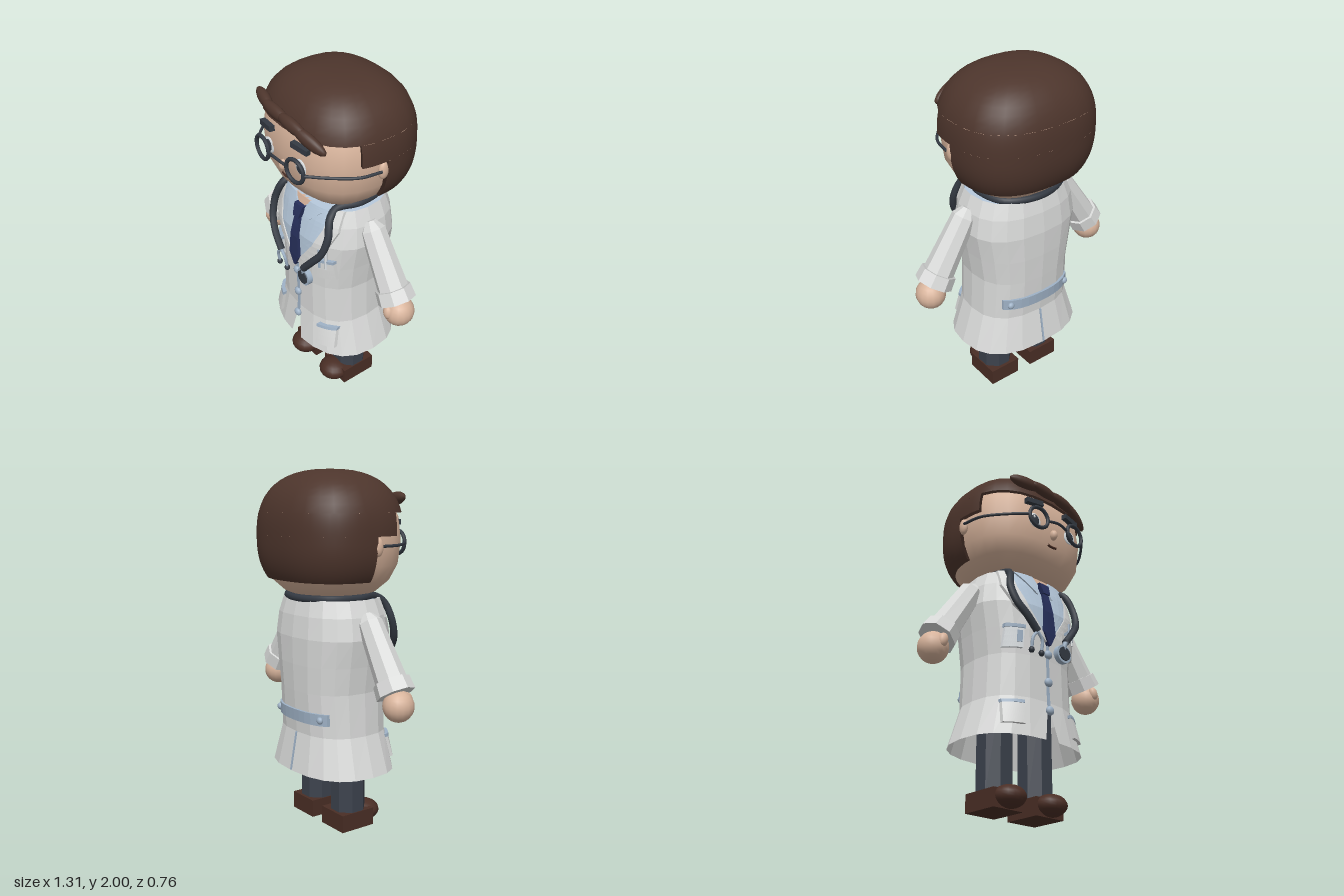
import * as THREE from 'three';

const mat = (name, color) => new THREE.MeshStandardMaterial({ name, color, side: THREE.DoubleSide });
const M = {
  coat: mat('coat white', 0xd9dad9), skin: mat('skin', 0xd8b49c), hair: mat('hair brown', 0x4d352c),
  shoe: mat('shoe brown', 0x4a2e25), trousers: mat('trouser slate', 0x3c424d), dark: mat('dark grey', 0x343a43),
  shirt: mat('shirt blue', 0xb7cadd), trim: mat('trim blue grey', 0x9fb2c6), tie: mat('navy', 0x27305c),
  eye: mat('eye white', 0xe8edf0),
};
const P = 2.5; // roundness of head and coat sections
const spow = (v, e) => Math.sign(v) * Math.abs(v) ** e;

// Grid surface from fn(i, j) -> [x, y, z]
function grid(nu, nv, fn) {
  const pos = [], idx = [], w = nu + 1;
  for (let j = 0; j <= nv; j++) for (let i = 0; i <= nu; i++) pos.push(...fn(i, j));
  for (let j = 0; j < nv; j++) for (let i = 0; i < nu; i++) {
    const a = j * w + i, b = a + 1, c = b + w, d = a + w;
    idx.push(a, b, c, a, c, d);
  }
  const g = new THREE.BufferGeometry();
  g.setAttribute('position', new THREE.Float32BufferAttribute(pos, 3));
  g.setIndex(idx);
  g.computeVertexNormals();
  return g;
}
function flat(g) {
  const n = g.index ? g.toNonIndexed() : g;
  n.computeVertexNormals();
  return n;
}

// Rounded-box shell between two heights, open in front of zMax, with a rim turned inwards
function shell({ A, B, C, cy, cz }, y0, y1, zMax, rim) {
  const phi = (y) => Math.asin(spow(THREE.MathUtils.clamp((y - cy) / B, -1, 1), P / 2));
  const nu = 26, nv = 10, nor = [];
  const g = grid(nu + 2, nv + 1, (i, j) => {
    const p = THREE.MathUtils.lerp(phi(y0), phi(y1), Math.max(j - 1, 0) / nv);
    const f = Math.abs(Math.cos(p)) ** (2 / P);
    const t0 = zMax === null ? Math.PI / 2 : Math.asin(spow((zMax - cz) / (C * f), P / 2));
    const u = THREE.MathUtils.clamp(i - 1, 0, nu) / nu;
    const t = t0 + (-Math.PI - 2 * t0) * u;
    const edge = j === 0 || (zMax !== null && (i === 0 || i === nu + 2));
    const x = spow(Math.cos(t), 2 / P) * f, y = spow(Math.sin(p), 2 / P), z = spow(Math.sin(t), 2 / P) * f;
    const n = new THREE.Vector3(spow(x, P - 1) / A, spow(y, P - 1) / B, spow(z, P - 1) / C).normalize();
    nor.push(n.x, n.y, n.z);
    const k = edge && rim ? 0.94 : 1;
    return [x * A * k, cy + y * B, cz + z * C * k];
  });
  g.setAttribute('normal', new THREE.Float32BufferAttribute(nor, 3));
  return g;
}

// Coat rows: height, half width, front depth, back depth
const ROWS = [[0.34, 0.375, 0.285, 0.29], [0.56, 0.305, 0.255, 0.25], [0.8, 0.295, 0.255, 0.265],
  [0.95, 0.315, 0.26, 0.272], [1.1, 0.34, 0.255, 0.275], [1.22, 0.32, 0.225, 0.262], [1.31, 0.285, 0.195, 0.24]];
function coatAt(y) {
  let k = 0;
  while (k < ROWS.length - 2 && y > ROWS[k + 1][0]) k++;
  const a = ROWS[k], b = ROWS[k + 1], t = (y - a[0]) / (b[0] - a[0]);
  return a.map((v, i) => v + (b[i] - v) * t);
}
function coatZ(x, y, side = 1) {
  const [, a, f, b] = coatAt(y);
  return side * (side > 0 ? f : b) * Math.max(0, 1 - Math.abs(x / a) ** P) ** (1 / P);
}
// Thin plate lying on the coat; rows are [y, xLeft, xRight] from bottom to top
function plate(rows, off = 0.008, side = 1) {
  const nu = 10, per = 4, nv = (rows.length - 1) * per;
  return flat(grid(nu + 2, nv + 2, (i, j) => {
    const v = THREE.MathUtils.clamp(j - 1, 0, nv) / per, k = Math.min(Math.floor(v), rows.length - 2);
    const [y, l, r] = rows[k].map((q, m) => q + (rows[k + 1][m] - q) * (v - k));
    const x = l + (r - l) * THREE.MathUtils.clamp(i - 1, 0, nu) / nu;
    const edge = i === 0 || j === 0 || i === nu + 2 || j === nv + 2;
    return [x * side, y, coatZ(x, y, side) + side * (edge ? -0.006 : off)];
  }));
}
const mirrorRows = (rows) => rows.map(([y, l, r]) => [y, -r, -l]);

export function createModel() {
  const root = new THREE.Group();
  const add = (name, g, m, x = 0, y = 0, z = 0) => {
    const o = new THREE.Mesh(g, m);
    o.name = name;
    o.position.set(x, y, z);
    root.add(o);
    return o;
  };
  const ball = (name, m, p, s, rz = 0) => {
    const o = add(name, new THREE.SphereGeometry(1, 16, 12), m, ...p);
    o.scale.set(...s);
    o.rotation.z = rz;
    return o;
  };
  const tube = (name, m, pts, r, n = 24) => add(name, new THREE.TubeGeometry(
    new THREE.CatmullRomCurve3(pts.map((p) => new THREE.Vector3(...p))), n, r, 8), m);

  // Head and hair
  add('head', shell({ A: 0.39, B: 0.33, C: 0.345, cy: 1.62, cz: -0.02 }, 1.29, 1.95, null, false), M.skin);
  const H = { A: 0.412, B: 0.36, C: 0.358, cy: 1.64, cz: -0.024 };
  add('hairCap', shell(H, 1.77, 2, null, true), M.hair);
  add('hairTemples', shell(H, 1.65, 1.77, 0.13, true), M.hair);
  add('hairBack', shell(H, 1.41, 1.65, -0.015, true), M.hair);
  [[-0.19, 1.842, 0.295, 0.1, -0.1, -0.25], [-0.06, 1.83, 0.318, 0.11, -0.12, 0], [0.08, 1.815, 0.32, 0.11, -0.16, 0.05],
    [0.2, 1.778, 0.305, 0.11, -0.38, 0.25]].forEach(([x, y, z, l, rz, ry]) => {
    ball('fringeLock', M.hair, [x, y, z], [l, 0.036, 0.03], rz).rotation.y = ry;
  });

  // Face
  ball('nose', M.skin, [0, 1.555, 0.325], [0.021, 0.032, 0.025]);
  tube('mouth', M.shoe, [[-0.032, 1.488, 0.309], [0, 1.482, 0.311], [0.032, 1.488, 0.309]], 0.007, 8);
  tube('glassesBridge', M.dark, [[-0.08, 1.6, 0.36], [0, 1.61, 0.37], [0.08, 1.6, 0.36]], 0.008, 10);
  add('neck', new THREE.CylinderGeometry(0.13, 0.13, 0.08, 16), M.skin, 0, 1.28, 0.02);

  for (const s of [-1, 1]) {
    ball('ear', M.skin, [s * 0.395, 1.595, 0], [0.022, 0.05, 0.03]);
    ball('eyeWhite', M.eye, [s * 0.137, 1.603, 0.315], [0.045, 0.045, 0.008]);
    ball('iris', M.dark, [s * 0.137, 1.603, 0.321], [0.028, 0.034, 0.006]);
    ball('eyeGlint', M.eye, [s * 0.137 - 0.012, 1.617, 0.327], [0.008, 0.008, 0.003]);
    const brow = add('eyebrow', new THREE.BoxGeometry(0.112, 0.03, 0.03), M.dark, s * 0.143, 1.718, 0.318);
    brow.rotation.set(0, s * 0.15, -s * 0.08);
    add('glassesRim', new THREE.TorusGeometry(0.064, 0.011, 8, 20), M.dark, s * 0.142, 1.6, 0.355).rotation.y = s * 0.1;
    tube('glassesArm', M.dark, [[s * 0.205, 1.6, 0.35], [s * 0.3, 1.6, 0.255], [s * 0.385, 1.6, 0.14], [s * 0.41, 1.6, 0.02]], 0.008);

    // Sleeves, cuffs and hands
    const arm = new THREE.Group();
    arm.name = 'arm';
    arm.position.set(s * 0.55, 0.845, 0);
    arm.rotation.z = s * 0.56;
    root.add(arm);
    const part = (name, g, y) => {
      const o = new THREE.Mesh(flat(g), M.coat);
      o.name = name;
      o.position.y = y;
      arm.add(o);
    };
    part('sleeve', new THREE.CylinderGeometry(0.068, 0.088, 0.38, 8), 0.22);
    part('shoulder', new THREE.CylinderGeometry(0.03, 0.068, 0.05, 8), 0.435);
    part('cuff', new THREE.CylinderGeometry(0.1, 0.107, 0.075, 8), 0.038);
    ball('hand', M.skin, [s * 0.57, 0.787, 0], [0.083, 0.085, 0.085]);
    ball('thumb', M.skin, [s * 0.562, 0.808, 0.07], [0.028, 0.042, 0.028], s * 0.2);

    // Legs and shoes
    add('trouserLeg', flat(new THREE.CylinderGeometry(0.1, 0.1, 0.55, 8).rotateY(Math.PI / 8)), M.trousers, s * 0.145, 0.36, 0);
    add('shoe', new THREE.BoxGeometry(0.196, 0.1, 0.22), M.shoe, s * 0.145, 0.05, 0);
    ball('shoeToe', M.shoe, [s * 0.145, 0.063, 0.115], [0.09, 0.06, 0.09]);

    // Lapels, collar and hip pockets
    const put = (name, rows, m, off) => add(name, plate(s > 0 ? rows : mirrorRows(rows), off), m);
    put('lapel', [[0.9, 0.005, 0.02], [1.08, 0.135, 0.22], [1.2, 0.185, 0.26], [1.31, 0.2, 0.25]], M.coat, 0.014);
    put('shirtCollar', [[1.19, 0.05, 0.06], [1.26, 0.035, 0.13], [1.31, 0.06, 0.18]], M.shirt, 0.016);
    put('hipPocket', [[0.4, 0.175, 0.28], [0.53, 0.17, 0.265]], M.coat, 0.018);
    put('hipPocketTrim', [[0.515, 0.168, 0.268], [0.533, 0.168, 0.268]], M.trim, 0.022);
  }

  // Coat body, split at the front hem
  const N = 20;
  add('coat', flat(grid(N, ROWS.length - 1, (i, j) => {
    const [y, a, f, b] = ROWS[j], t = Math.PI / 2 - (i / N) * Math.PI * 2;
    const c = Math.cos(t), sn = Math.sin(t), end = i === 0 ? 1 : i === N ? -1 : 0;
    return [end ? (j === 0 ? end * 0.045 : 0) : spow(c, 2 / P) * a, y, spow(sn, 2 / P) * (sn > 0 ? f : b)];
  })), M.coat);
  add('shirtYoke', grid(N, 1, (i, j) => {
    const t = Math.PI / 2 - (i / N) * Math.PI * 2, sn = Math.sin(t);
    return [spow(Math.cos(t), 2 / P) * 0.283 * (1 - j), 1.303, spow(sn, 2 / P) * (sn > 0 ? 0.193 : 0.238) * (1 - j)];
  }), M.shirt);
  add('shirtFront', plate([[0.91, -0.01, 0.01], [1.1, -0.17, 0.17], [1.2, -0.2, 0.2], [1.31, -0.215, 0.215]], 0.007), M.shirt);
  add('throat', plate([[1.25, -0.005, 0.005], [1.31, -0.07, 0.07]], 0.011), M.skin);
  add('tieBlade', plate([[0.88, -0.006, 0.006], [0.95, -0.042, 0.042], [1.21, -0.02, 0.02]], 0.024), M.tie);
  add('tieKnot', plate([[1.2, -0.024, 0.024], [1.27, -0.036, 0.036]], 0.034), M.tie);
  add('frontSeam', plate([[0.5, -0.007, 0.007], [0.9, -0.007, 0.007]], 0.008), M.trim);
  for (const y of [0.51, 0.67, 0.83]) ball('coatButton', M.trim, [0, y, coatZ(0, y) + 0.008], [0.025, 0.025, 0.018]);

  // Half belt and vent at the back
  add('backBelt', plate([[0.63, -0.228, 0.228], [0.695, -0.228, 0.228]], 0.012, -1), M.trim);
  add('backVent', plate([[0.345, -0.005, 0.005], [0.56, -0.005, 0.005]], 0.006, -1), M.trim);
  for (const x of [-0.195, 0.195]) ball('beltButton', M.trim, [x, 0.662, coatZ(x, 0.662, -1) - 0.014], [0.02, 0.02, 0.016]);

  // Breast pocket with pens, and badge
  add('breastPocket', plate([[0.885, 0.165, 0.26], [1.015, 0.155, 0.255]], 0.018), M.coat);
  add('breastPocketTrim', plate([[1.0, 0.153, 0.257], [1.018, 0.153, 0.257]], 0.022), M.trim);
  [[0.185, M.trim], [0.22, M.eye]].forEach(([x, m]) =>
    add('pen', new THREE.CylinderGeometry(0.009, 0.009, 0.12, 8), m, x, 1.02, coatZ(x, 1.02) + 0.014));
  add('badge', plate([[0.83, -0.255, -0.165], [0.955, -0.25, -0.16]], 0.014), M.eye);
  add('badgeStrip', plate([[0.94, -0.255, -0.158], [0.96, -0.255, -0.158]], 0.02), M.trim);
  add('badgePanel', plate([[0.86, -0.198, -0.172], [0.925, -0.198, -0.172]], 0.018), M.trim);

  // Stethoscope
  const side = (s) => [[s * 0.105, 0.925, 0.295], [s * 0.175, 1.01, 0.285], [s * 0.225, 1.08, 0.262], [s * 0.243, 1.18, 0.23],
    [s * 0.215, 1.28, 0.195], [s * 0.2, 1.315, 0.14], [s * 0.235, 1.315, 0], [s * 0.19, 1.315, -0.17]];
  tube('stethoscopeTube', M.dark, [...side(-1), [0, 1.312, -0.235], ...side(1).reverse()], 0.021, 90);
  for (const x of [-0.142, -0.07]) {
    tube('earpieceStem', M.trim, [[-0.105, 0.925, 0.295], [(x - 0.105) / 2 + (x + 0.105) * 0.4, 0.885, 0.295], [x, 0.82, 0.285]], 0.009, 12);
    ball('earTip', M.dark, [x, 0.812, 0.285], [0.016, 0.018, 0.016]);
  }
  tube('chestpieceStem', M.trim, [[0.105, 0.925, 0.295], [0.098, 0.9, 0.292], [0.095, 0.87, 0.285]], 0.013, 8);
  add('chestpiece', new THREE.CylinderGeometry(0.053, 0.053, 0.03, 18).rotateX(Math.PI / 2), M.trim, 0.095, 0.855, 0.278);
  add('chestpieceFace', new THREE.CylinderGeometry(0.04, 0.04, 0.008, 18).rotateX(Math.PI / 2), M.dark, 0.095, 0.855, 0.296);
  return root;
}
